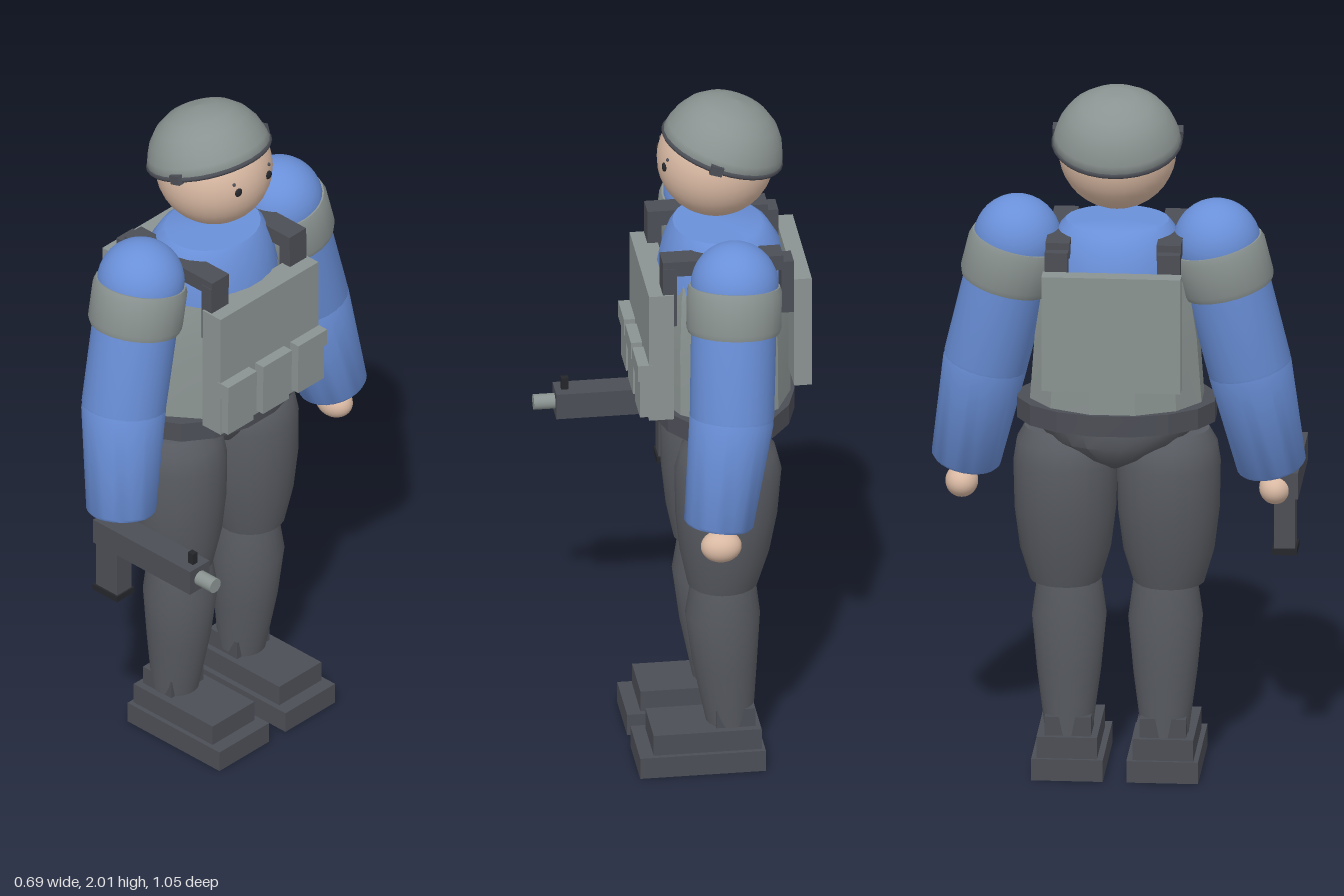
import * as THREE from 'three';
import { toCreasedNormals } from 'three/addons/utils/BufferGeometryUtils.js';

const mat = (name, color) => Object.assign(new THREE.MeshStandardMaterial({ color }), { name });
const V = (x, y, z) => new THREE.Vector3(x, y, z);

export function createModel() {
  const blue = mat('shirtBlue', 0x6a90d9);
  const grey = mat('armourGrey', 0x8a9391);
  const trouser = mat('trouserGrey', 0x585b61);
  const dark = mat('gearDark', 0x4c4e56);
  const skin = mat('skin', 0xd9b9a3);
  const black = mat('black', 0x25262a);
  const root = new THREE.Group();
  root.name = 'guard';

  const add = (name, geo, material, x = 0, y = 0, z = 0, parent = root) => {
    const m = new THREE.Mesh(geo, material);
    m.name = name;
    m.position.set(x, y, z);
    parent.add(m);
    return m;
  };
  // Box given by its extents on each axis
  const box = (name, material, x0, x1, y0, y1, z0, z1, parent = root) =>
    add(name, new THREE.BoxGeometry(x1 - x0, y1 - y0, Math.abs(z1 - z0)), material,
      (x0 + x1) / 2, (y0 + y1) / 2, (z0 + z1) / 2, parent);
  const sphere = (name, material, r, x, y, z, parent = root) =>
    add(name, new THREE.SphereGeometry(r, 32, 20), material, x, y, z, parent);
  // Closed body from elliptical sections [y, centreX, radiusX, radiusZ], listed upward
  const loft = (name, material, rows, z = 0, sides = 24, crease = 0.7, parent = root) => {
    const pts = [], idx = [], n = rows.length;
    for (const [y, cx, rx, rz] of rows)
      for (let j = 0; j < sides; j++) {
        const a = ((j + 0.5) / sides) * Math.PI * 2;
        pts.push(cx + rx * Math.cos(a), y, rz * Math.sin(a));
      }
    const bottom = n * sides, top = bottom + 1;
    pts.push(rows[0][1], rows[0][0], 0, rows[n - 1][1], rows[n - 1][0], 0);
    for (let j = 0; j < sides; j++) {
      const k = (j + 1) % sides;
      for (let i = 0; i < n - 1; i++) {
        const a = i * sides + j, b = i * sides + k;
        idx.push(a, a + sides, b, b, a + sides, b + sides);
      }
      idx.push(bottom, j, k, top, (n - 1) * sides + k, (n - 1) * sides + j);
    }
    const g = new THREE.BufferGeometry();
    g.setAttribute('position', new THREE.Float32BufferAttribute(pts, 3));
    g.setIndex(idx);
    return add(name, toCreasedNormals(g, crease), material, 0, 0, z, parent);
  };
  // Round limb from a lower point to an upper point
  const limb = (name, material, low, high, profile, parent) => {
    const dir = high.clone().sub(low);
    const pts = profile.map(([r, t]) => new THREE.Vector2(r, t * dir.length()));
    const g = toCreasedNormals(new THREE.LatheGeometry(pts, 24), 0.7);
    const m = add(name, g, material, low.x, low.y, low.z, parent);
    m.quaternion.setFromUnitVectors(V(0, 1, 0), dir.normalize());
    return m;
  };

  // Head with eyes
  sphere('head', skin, 0.165, -0.105, 1.825, 0);
  for (const s of [1, -1]) {
    sphere('eye', black, 0.013, 0.048, 1.835, s * 0.06).scale.x = 0.5;
    sphere('brow', dark, 0.005, 0.04, 1.862, s * 0.07);
  }

  // Helmet, tilted down at the back
  const helmet = new THREE.Group();
  helmet.name = 'helmet';
  helmet.position.set(-0.125, 1.862, 0);
  helmet.rotation.z = 0.31;
  root.add(helmet);
  const dome = [[0.166, -0.008], [0.18, 0], [0.174, 0.025], [0.16, 0.06], [0.135, 0.095],
    [0.1, 0.122], [0.055, 0.139], [0, 0.144]].map(p => new THREE.Vector2(...p));
  const shell = add('helmetShell', new THREE.LatheGeometry(dome, 28), grey, 0, 0, 0, helmet);
  shell.scale.x = 0.97;
  const rim = add('helmetRim', new THREE.TorusGeometry(0.176, 0.008, 6, 32), dark, 0, -0.004, 0, helmet);
  rim.rotation.x = Math.PI / 2;
  rim.scale.x = 0.97;
  for (const s of [1, -1])
    box('helmetClip', dark, 0.025, 0.06, -0.015, 0.012, s * 0.165, s * 0.183, helmet);

  // Torso, vest and belt
  loft('torso', blue, [[1.02, -0.12, 0.14, 0.2], [1.1, -0.12, 0.165, 0.21], [1.35, -0.12, 0.185, 0.2],
    [1.47, -0.12, 0.185, 0.2], [1.56, -0.12, 0.165, 0.185], [1.61, -0.115, 0.14, 0.16],
    [1.625, -0.11, 0.125, 0.145]]);
  loft('vest', grey, [[1.1, -0.12, 0.195, 0.25], [1.3, -0.12, 0.195, 0.235],
    [1.46, -0.12, 0.185, 0.21], [1.5, -0.12, 0.175, 0.195]], 0, 12, 0.2);
  loft('belt', dark, [[1.05, -0.12, 0.205, 0.283], [1.11, -0.12, 0.205, 0.283]], 0, 16, 0.3);
  box('frontPlate', grey, 0.04, 0.11, 1.11, 1.5, -0.198, 0.198);
  box('backPlate', grey, -0.35, -0.3, 1.19, 1.525, -0.195, 0.195);
  for (const z of [-0.142, 0, 0.142]) {
    box('pouch', grey, 0.1, 0.135, 1.12, 1.25, z - 0.052, z + 0.052);
    box('pouchLid', grey, 0.1, 0.142, 1.235, 1.285, z - 0.058, z + 0.058);
  }

  // Pelvis
  loft('pelvis', trouser, [[0.925, -0.13, 0.09, 0.03], [0.95, -0.14, 0.12, 0.09],
    [1.0, -0.145, 0.145, 0.19], [1.04, -0.145, 0.145, 0.225]]);

  for (const s of [1, -1]) {
    const side = s > 0 ? 'right' : 'left';

    // Shoulder straps
    box(side + 'StrapTop', dark, -0.27, 0.07, 1.555, 1.6, s * 0.122, s * 0.19);
    box(side + 'StrapFront', dark, 0.03, 0.07, 1.4, 1.58, s * 0.125, s * 0.192);
    box(side + 'StrapBack', dark, -0.3, -0.265, 1.42, 1.58, s * 0.125, s * 0.19);

    // Arm
    const arm = new THREE.Group();
    arm.name = side + 'Arm';
    root.add(arm);
    const shoulder = V(-0.12, 1.567, s * 0.28), elbow = V(-0.1, 1.2, s * 0.37), wrist = V(-0.053, 0.888, s * 0.43);
    sphere('shoulder', blue, 0.123, shoulder.x, shoulder.y, shoulder.z, arm);
    limb('upperSleeve', blue, elbow, shoulder, [[0, -0.06], [0.115, -0.04], [0.119, 0], [0.121, 1]], arm);
    limb('lowerSleeve', blue, wrist, elbow, [[0, 0], [0.09, 0], [0.098, 0.03], [0.119, 0.97], [0.115, 1.06], [0, 1.1]], arm);
    limb('armBand', grey, elbow.clone().lerp(shoulder, 0.64), shoulder,
      [[0.118, 0], [0.128, 0], [0.134, 0.12], [0.134, 0.85], [0.128, 0.98], [0.118, 0.98]], arm);
    sphere('hand', skin, 0.046, -0.06, 0.828, s * 0.44, arm).scale.x = 1.25;

    // Leg
    const leg = new THREE.Group();
    leg.name = side + 'Leg';
    root.add(leg);
    const tilt = (rows, zs) => {
      const m = loft(zs.name, trouser, rows, s * zs.z, 20, 0.7, leg);
      return m;
    };
    tilt([[0.565, -0.105, 0.1, 0.1], [0.66, -0.11, 0.125, 0.128], [0.78, -0.115, 0.143, 0.143],
      [0.92, -0.12, 0.15, 0.146], [0.98, -0.12, 0.135, 0.137], [1.02, -0.12, 0.105, 0.115]],
    { name: 'thigh', z: 0.145 });
    tilt([[0.12, -0.125, 0.066, 0.066], [0.3, -0.112, 0.09, 0.09], [0.46, -0.106, 0.105, 0.105],
      [0.57, -0.108, 0.09, 0.09]], { name: 'shin', z: 0.135 });
    box('ankle', dark, -0.19, -0.08, 0.12, 0.18, s * 0.068, s * 0.198, leg);
    box('boot', dark, -0.205, 0.1, 0.06, 0.125, s * 0.05, s * 0.22, leg);
    box('sole', dark, -0.215, 0.14, 0, 0.063, s * 0.033, s * 0.234, leg);
  }

  // Sidearm held in the right hand
  const gun = new THREE.Group();
  gun.name = 'sidearm';
  root.add(gun);
  box('gunBody', dark, -0.09, 0.285, 0.803, 0.88, 0.426, 0.505, gun);
  box('gunGrip', dark, -0.088, -0.005, 0.655, 0.803, 0.438, 0.496, gun);
  box('gripBase', black, -0.094, 0, 0.64, 0.658, 0.432, 0.502, gun);
  box('gunSight', black, 0.247, 0.267, 0.88, 0.915, 0.456, 0.474, gun);
  const barrel = add('gunBarrel', new THREE.CylinderGeometry(0.022, 0.022, 0.07, 16), grey, 0.31, 0.842, 0.465, gun);
  barrel.rotation.z = Math.PI / 2;
  return root;
}
